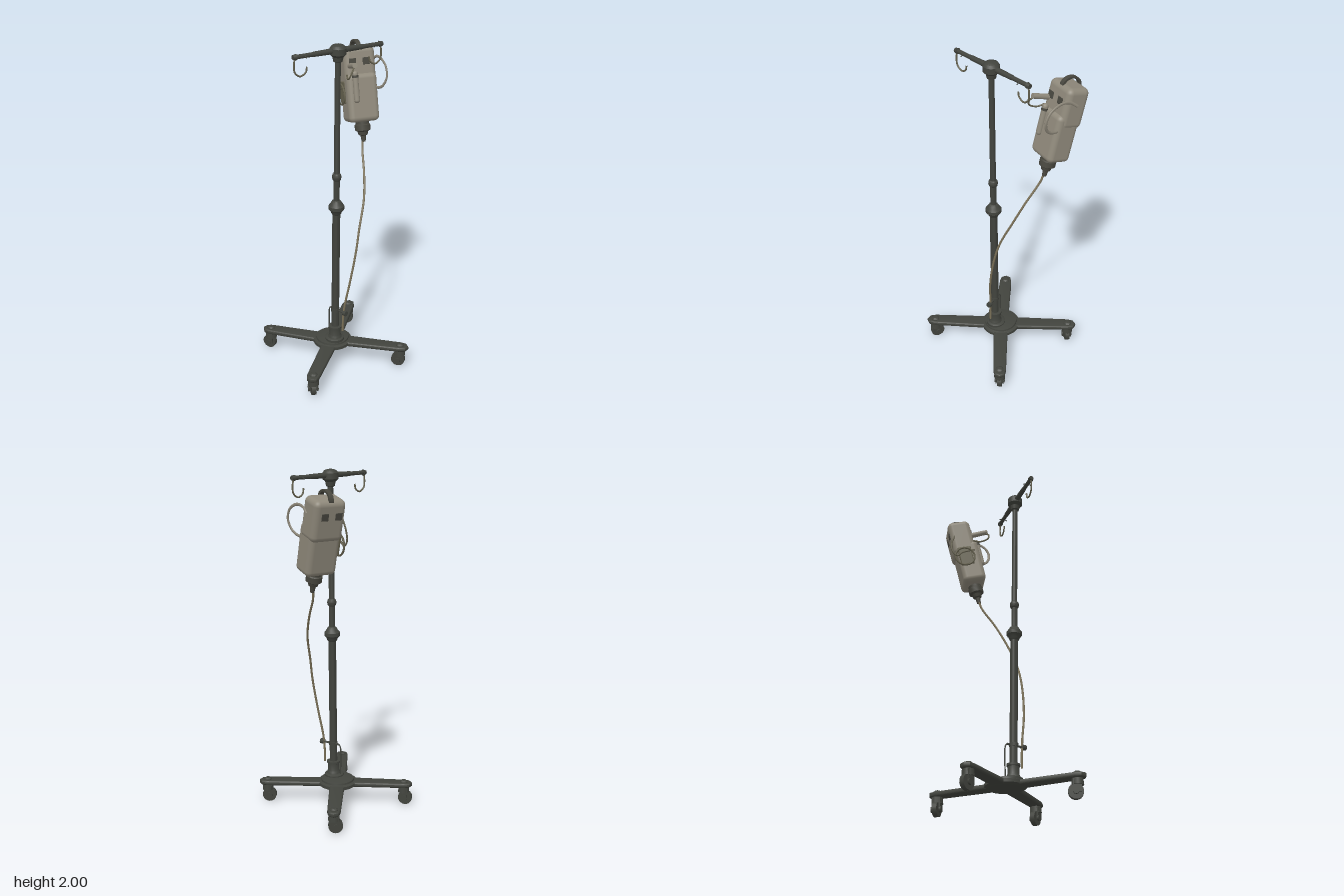
import * as THREE from 'three';
import { RoundedBoxGeometry } from 'three/addons/geometries/RoundedBoxGeometry.js';
import { toCreasedNormals } from 'three/addons/utils/BufferGeometryUtils.js';

const mat = (name, color) => {
  const m = new THREE.MeshStandardMaterial({ color });
  m.name = name;
  return m;
};
const V = (x, y, z) => new THREE.Vector3(x, y, z);

export function createModel() {
  const model = new THREE.Group();
  model.name = 'dripStand';
  const iron = mat('darkIron', 0x42443e);
  const canvas = mat('greyBeige', 0x8f897b);
  const strap = mat('strapGrey', 0x48473f);
  const wire = mat('wireGrey', 0x66624f);
  const hose = mat('hoseTan', 0x7c7259);

  const add = (parent, name, geo, material, x = 0, y = 0, z = 0) => {
    const m = new THREE.Mesh(geo, material);
    m.name = name;
    m.position.set(x, y, z);
    parent.add(m);
    return m;
  };
  const lathe = (pts, n = 16) =>
    toCreasedNormals(new THREE.LatheGeometry(pts.map(p => new THREE.Vector2(p[0], p[1])), n), 0.6);
  const cyl = (a, b, h, n = 12) => new THREE.CylinderGeometry(a, b, h, n);
  const tube = (pts, r, seg = 24) =>
    new THREE.TubeGeometry(new THREE.CatmullRomCurve3(pts.map(p => V(...p))), seg, r, 7);
  const rod = (parent, name, a, b, r1, r2, material) => {
    const d = b.clone().sub(a);
    const m = add(parent, name, cyl(r2, r1, d.length()), material);
    m.position.copy(a).addScaledVector(d, 0.5);
    m.quaternion.setFromUnitVectors(V(0, 1, 0), d.normalize());
    return m;
  };

  // Base plate: shallow dome with a flange
  add(model, 'baseHub', lathe([[0, 0.108], [0.1, 0.108], [0.117, 0.118], [0.117, 0.136], [0.1, 0.142], [0.098, 0.152],
    [0.06, 0.16], [0, 0.162]], 24), iron, 0, 0, 0.017);
  add(model, 'baseFlange', lathe([[0.058, 0.145], [0.058, 0.168], [0.048, 0.174], [0, 0.174]], 20), iron, 0.034, 0, 0.032);

  // Four legs with swivelling casters
  const casters = [[0.357, -0.212, 0.5], [-0.352, 0.212, 0.3], [0.21, 0.381, -0.6], [-0.219, -0.347, 0.7]];
  for (const [x, z, swivel] of casters) {
    const len = Math.hypot(x, z - 0.017);
    const s = new THREE.Shape();
    s.moveTo(0, -0.038);
    s.lineTo(len, -0.03);
    s.lineTo(len + 0.03, -0.022);
    s.lineTo(len + 0.042, 0);
    s.lineTo(len + 0.03, 0.022);
    s.lineTo(len, 0.03);
    s.lineTo(0, 0.038);
    const geo = new THREE.ExtrudeGeometry(s, { depth: 0.012, bevelSize: 0.008, bevelThickness: 0.008, bevelSegments: 3 });
    geo.rotateX(-Math.PI / 2);
    const leg = add(model, 'leg', toCreasedNormals(geo, 0.7), iron, 0, 0.119, 0.017);
    leg.rotation.y = Math.atan2(-(z - 0.017), x);

    const caster = new THREE.Group();
    caster.name = 'caster';
    caster.position.set(x, 0, z);
    caster.rotation.y = swivel;
    model.add(caster);
    add(caster, 'casterBolt', lathe([[0.024, 0.13], [0.024, 0.143], [0.014, 0.151], [0, 0.152]], 10), iron);
    add(caster, 'casterHousing', cyl(0.03, 0.034, 0.045), iron, 0, 0.098, 0);
    add(caster, 'casterWheel', cyl(0.042, 0.042, 0.028, 18).rotateX(Math.PI / 2), iron, -0.01, 0.042, 0);
    for (const side of [-1, 1]) {
      add(caster, 'casterFork', new THREE.BoxGeometry(0.045, 0.07, 0.008), iron, -0.003, 0.072, side * 0.021);
      add(caster, 'wheelHub', cyl(0.018, 0.018, 0.012, 10).rotateX(Math.PI / 2), iron, -0.01, 0.042, side * 0.024);
    }
  }

  // Telescopic pole, leaning very slightly
  const pole = add(model, 'pole', lathe([
    [0.045, 0.16], [0.04, 0.18], [0.034, 0.19], [0.034, 0.235], [0.04, 0.238], [0.04, 0.25], [0.023, 0.252],
    [0.023, 1.0], [0.03, 1.01], [0.034, 1.022], [0.046, 1.035], [0.046, 1.055], [0.034, 1.07], [0.026, 1.085], [0.018, 1.09],
    [0.018, 1.212], [0.024, 1.218], [0.028, 1.235], [0.024, 1.25], [0.017, 1.256], [0.016, 1.9],
    [0.025, 1.905], [0.03, 1.93], [0.046, 1.945], [0.046, 1.978], [0.036, 1.992], [0.018, 1.999], [0, 2]]), iron, 0.037, 0, 0.033);
  pole.rotation.z = -0.012;

  // Crossbar with a knob and a hook at both ends
  const head = V(0.06, 1.965, 0.033);
  for (const end of [V(0.125, 1.965, -0.245), V(0, 1.965, 0.305)]) {
    const mid = head.clone().lerp(end, 0.55);
    const dir = end.clone().sub(head).normalize();
    rod(model, 'crossbarSleeve', head, mid, 0.017, 0.014, iron);
    rod(model, 'crossbar', mid, end, 0.012, 0.012, iron);
    rod(model, 'crossbarKnob', end.clone().addScaledVector(dir, -0.02), end, 0.017, 0.013, iron);
    const at = (back, y) => end.clone().addScaledVector(dir, -back).setY(y).toArray();
    add(model, 'hook', tube([at(0.012, 1.96), at(0.006, 1.92), at(0.012, 1.88), at(0.045, 1.858),
      at(0.078, 1.875), at(0.085, 1.905)], 0.005, 20), wire);
    const side = V(dir.z, 0, -dir.x);
    const p = (k, y) => end.clone().addScaledVector(dir, -0.07).addScaledVector(side, k).setY(y).toArray();
    add(model, 'crossPin', tube([p(-0.025, 1.958), p(0, 1.968), p(0.025, 1.958)], 0.003, 8), iron);
  }

  // Hanging bag: x is its depth, y its tilted height, z its width
  const bag = new THREE.Group();
  bag.name = 'bag';
  const up = V(-0.215, 0.95, -0.1).normalize();
  const depth = up.clone().cross(V(-0.42, 0, 0.907)).normalize();
  bag.quaternion.setFromRotationMatrix(new THREE.Matrix4().makeBasis(depth, up, depth.clone().cross(up)));
  bag.position.set(-0.105, 1.685, -0.3);
  model.add(bag);
  add(bag, 'bagUpper', new RoundedBoxGeometry(0.14, 0.23, 0.19, 4, 0.032), canvas, -0.004, 0.092, 0);
  add(bag, 'bagLower', new RoundedBoxGeometry(0.142, 0.28, 0.186, 4, 0.03), canvas, 0.012, -0.085, 0.002);
  add(bag, 'frontPouch', new RoundedBoxGeometry(0.085, 0.13, 0.02, 3, 0.009), wire, -0.01, -0.05, 0.09);

  // Slots, painted on both broad faces
  for (const x of [-0.074, 0.066]) for (const z of [0.05, -0.033])
    add(bag, 'slot', new RoundedBoxGeometry(0.005, 0.04, 0.042, 2, 0.002), strap, x, 0.122, z);

  // Carrying handle: a flat arched band
  const arch = new THREE.Shape();
  arch.absarc(0, 0, 0.062, 0, Math.PI, false);
  arch.absarc(0, 0, 0.047, Math.PI, 0, true);
  const handle = add(bag, 'handle', new THREE.ExtrudeGeometry(arch, { depth: 0.026, bevelEnabled: false, curveSegments: 14 }),
    strap, -0.004, 0.198, -0.013);
  handle.scale.y = 0.8;

  // Bottom cap and outlet
  add(bag, 'bottomCap', lathe([[0, -0.345], [0.012, -0.345], [0.016, -0.31], [0.026, -0.305], [0.032, -0.285], [0.046, -0.277],
    [0.046, -0.245], [0.04, -0.24], [0.04, -0.2]]), strap, 0.014, 0, 0);

  // Side bottle, short spout and loose loops
  add(bag, 'sideBottle', new THREE.CapsuleGeometry(0.017, 0.15, 4, 10), canvas, 0.086, -0.02, 0.048);
  add(bag, 'bottleClip', cyl(0.019, 0.019, 0.014), strap, 0.086, 0.04, 0.048);
  rod(bag, 'spout', V(0.05, 0.1, 0.065), V(0.165, 0.105, 0.075), 0.016, 0.015, canvas);
  add(bag, 'spoutLoop', tube([[0.14, 0.105, 0.07], [0.165, 0.075, 0.09], [0.15, 0.04, 0.105], [0.1, 0.03, 0.1],
    [0.06, 0.05, 0.088]], 0.005), wire);
  const backLoop = add(bag, 'backLoop', tube([[0, 0.12, -0.018], [0.05, 0.14, -0.01], [0.11, 0.135, -0.015],
    [0.17, 0.09, -0.025], [0.183, 0.03, -0.025], [0.15, -0.02, -0.005], [0.1, -0.035, 0.01], [0.06, -0.03, 0.025]],
    0.0085, 36), canvas, 0, 0, -0.092);
  backLoop.scale.z = 0.6;
  add(bag, 'frontRing', new THREE.TorusGeometry(0.06, 0.006, 6, 24), wire, -0.02, -0.06, 0.105);
  add(bag, 'frontLoop', tube([[-0.05, 0.1, 0.09], [-0.08, 0.05, 0.1], [-0.092, -0.01, 0.11], [-0.07, -0.05, 0.11],
    [-0.03, -0.03, 0.105], [0.05, -0.02, 0.1]], 0.005), wire);

  // Long drip hose
  add(model, 'dripHose', tube([[-0.022, 1.37, -0.257], [-0.008, 1.31, -0.24], [0.055, 1.19, -0.19], [0.105, 1.06, -0.138],
    [0.135, 0.9, -0.07], [0.145, 0.77, -0.035], [0.133, 0.57, 0.003], [0.107, 0.4, 0.022], [0.1, 0.3, 0.027],
    [0.1, 0.235, 0.028]], 0.0065, 60), hose);

  // Hose clamp on the pole with a dangling wire
  rod(model, 'clampBar', V(0, 0.362, 0.03), V(0.122, 0.362, 0.024), 0.006, 0.006, iron);
  add(model, 'clampCollar', cyl(0.026, 0.026, 0.02), iron, 0.042, 0.362, 0.033);
  add(model, 'clampKnob', cyl(0.016, 0.016, 0.022, 10).rotateZ(Math.PI / 2), iron, 0.115, 0.362, 0.025);
  add(model, 'clampWire', tube([[0.02, 0.365, 0.03], [-0.008, 0.355, 0.03], [-0.014, 0.28, 0.03], [-0.012, 0.17, 0.03]],
    0.004, 16), iron);

  // Profiles are open at their hidden ends, so show both faces
  iron.side = strap.side = THREE.DoubleSide;
  return model;
}
